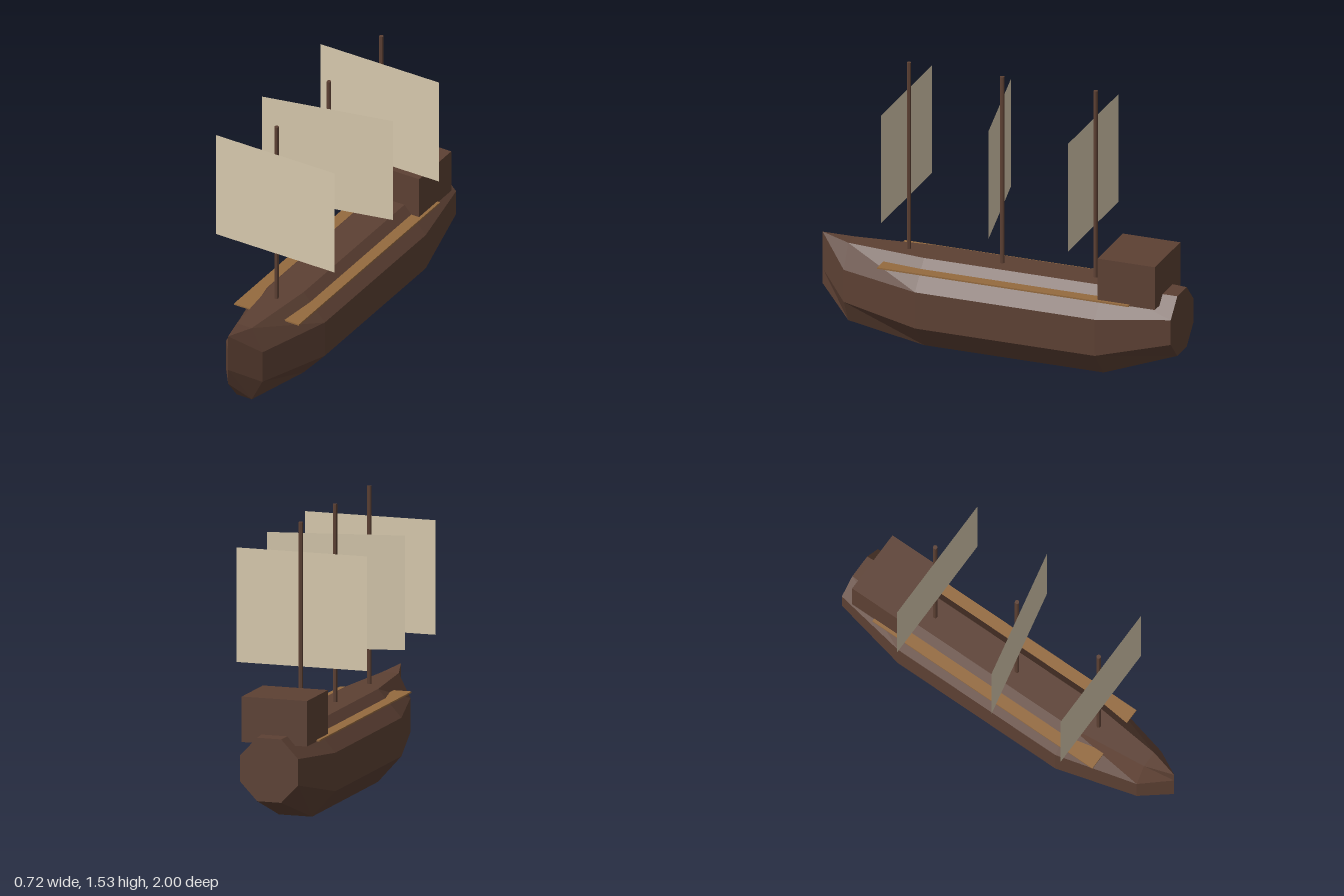
import * as THREE from 'three';

const material = (name, color, extra = {}) => {
  const m = new THREE.MeshStandardMaterial({ color, ...extra });
  m.name = name;
  return m;
};

// Octagonal cross-sections lofted from stern to stem: [z, bottom y, top y, half width]
function hullGeometry() {
  const stations = [
    [-1, 0.145, 0.48, 0.16],
    [-0.6, 0, 0.49, 0.22],
    [0.4, 0, 0.49, 0.22],
    [0.84, 0.055, 0.49, 0.11],
    [1, 0.22, 0.51, 0],
  ];
  const sides = 8;
  const positions = [];
  const index = [];
  for (const [z, low, high, halfWidth] of stations) {
    for (let i = 0; i < sides; i++) {
      const a = ((i + 0.5) / sides) * Math.PI * 2;
      const k = 1 / Math.cos(Math.PI / sides);
      positions.push(
        halfWidth * k * Math.cos(a),
        (low + high) / 2 + ((high - low) / 2) * k * Math.sin(a),
        z
      );
    }
  }
  for (let s = 0; s < stations.length - 1; s++) {
    for (let i = 0; i < sides; i++) {
      const a = s * sides + i;
      const b = s * sides + ((i + 1) % sides);
      index.push(a, b, b + sides, a, b + sides, a + sides);
    }
  }
  // Flat transom
  for (let i = 1; i < sides - 1; i++) index.push(0, i + 1, i);
  const indexed = new THREE.BufferGeometry();
  indexed.setAttribute('position', new THREE.Float32BufferAttribute(positions, 3));
  indexed.setIndex(index);
  const geometry = indexed.toNonIndexed();
  geometry.computeVertexNormals();
  return geometry;
}

export function createModel() {
  const ship = new THREE.Group();
  ship.name = 'sailingShip';
  const darkWood = material('darkWood', 0x5c4033, { flatShading: true });
  const lightWood = material('lightWood', 0x946a3e);
  const canvas = material('canvas', 0xd7c9ad, { side: THREE.DoubleSide });

  const add = (name, geometry, mat, x, y, z) => {
    const mesh = new THREE.Mesh(geometry, mat);
    mesh.name = name;
    mesh.position.set(x, y, z);
    ship.add(mesh);
    return mesh;
  };

  add('hull', hullGeometry(), darkWood, 0, 0, 0);
  add('cabin', new THREE.BoxGeometry(0.36, 0.24, 0.32), darkWood, 0, 0.555, -0.76);

  // Side walkways
  const walkway = new THREE.BoxGeometry(0.1, 0.008, 1.4);
  add('leftWalkway', walkway, lightWood, 0.147, 0.44, -0.08);
  add('rightWalkway', walkway, lightWood, -0.147, 0.44, -0.08);

  // Masts with square sails; the middle sail is swung round
  const mast = new THREE.CylinderGeometry(0.012, 0.012, 1.085, 8);
  const sail = new THREE.PlaneGeometry(0.72, 0.605);
  const rigs = [['fore', 0.52, 0], ['main', 0, 0.21], ['rear', -0.52, 0]];
  for (const [name, z, turn] of rigs) {
    add(name + 'Mast', mast, darkWood, 0, 0.9925, z);
    add(name + 'Sail', sail, canvas, 0, 1.072, z + 0.014).rotation.y = turn;
  }
  return ship;
}
